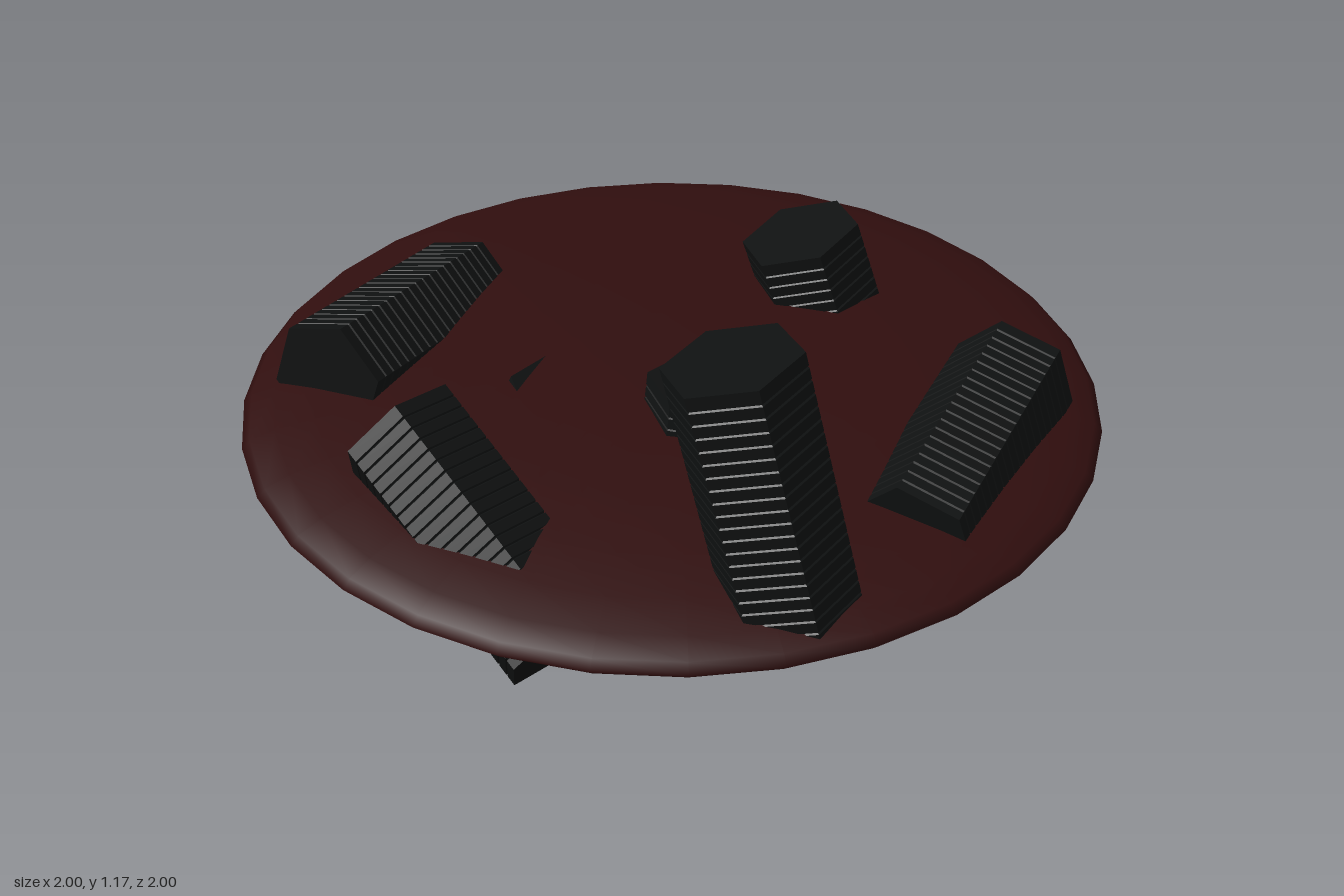
import * as THREE from 'three';

const RADIUS = 0.147;

// Six-sided log with flat ends and fine ribs along its length
function ribbedLog(length) {
  const count = Math.round(length / 0.03);
  const step = length / count;
  const profile = [new THREE.Vector2(0, 0)];
  for (let i = 0; i < count; i++) {
    const y = i * step;
    profile.push(new THREE.Vector2(RADIUS, y));
    profile.push(new THREE.Vector2(RADIUS, y + step * 0.8));
    if (i < count - 1) profile.push(new THREE.Vector2(RADIUS - 0.004, y + step * 0.9));
  }
  profile.push(new THREE.Vector2(RADIUS, length), new THREE.Vector2(0, length));
  const geometry = new THREE.LatheGeometry(profile, 6).toNonIndexed();
  geometry.computeVertexNormals(); // flat facets
  return geometry;
}

export function createModel() {
  const group = new THREE.Group();
  const darkRed = new THREE.MeshStandardMaterial({ color: 0x300e0e });
  darkRed.name = 'darkRed';
  const charcoal = new THREE.MeshStandardMaterial({ color: 0x0f1111 });
  charcoal.name = 'charcoal';

  // Flattened round disc
  const disc = new THREE.Mesh(new THREE.SphereGeometry(1, 32, 16), darkRed);
  disc.name = 'disc';
  disc.scale.y = 0.1;
  disc.position.y = 0.56;
  group.add(disc);

  // Logs stuck through the disc: lower end, upper end, roll about the axis
  const logs = [
    ['tallLog', [0.78, 0.55, 0.25], [0.665, 1.135, 0.335], 0.25],
    ['rightLog', [-0.67, 0.56, 0.15], [-0.40, 0.645, 0.69], 0.2],
    ['frontLog', [0.47, 0.43, 0.62], [-0.04, 0.72, 0.70], 0.3],
    ['backStub', [-0.05, 0.53, -0.52], [-0.10, 0.79, -0.455], 0.2],
    ['lowerLog', [-0.26, 0.055, 0.37], [-0.05, 0.61, 0.25], 0.3],
    ['middleLog', [0.21, 0.10, 0.115], [0.21, 0.715, 0.04], 0.25],
    ['leftLog', [0.76, 0.56, -0.09], [0.50, 0.645, -0.62], 0.2],
  ];
  const up = new THREE.Vector3(0, 1, 0);
  for (const [name, low, high, roll] of logs) {
    const start = new THREE.Vector3(...low);
    const axis = new THREE.Vector3(...high).sub(start);
    const log = new THREE.Mesh(ribbedLog(axis.length()), charcoal);
    log.name = name;
    log.position.copy(start);
    log.quaternion.setFromUnitVectors(up, axis.normalize());
    log.rotateY(roll);
    group.add(log);
  }
  return group;
}
